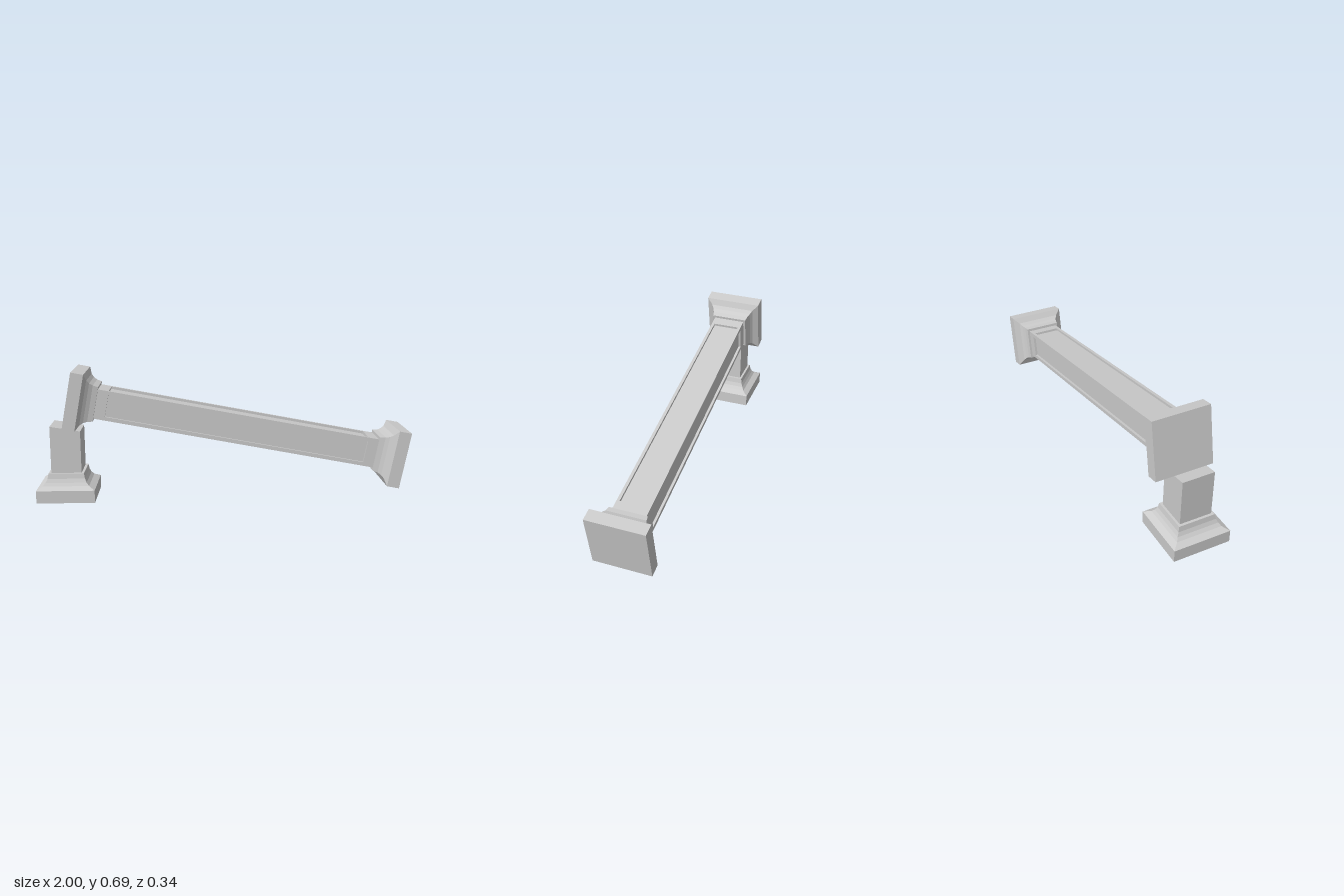
import * as THREE from 'three';

const material = new THREE.MeshStandardMaterial({ color: 0xcccccc, flatShading: true });

// Closed solid through rectangular rings [y, halfX, halfZ], stacked upwards
function ringSolid(rings) {
  const pos = [];
  const corner = ([y, hx, hz], k) => {
    const [sx, sz] = [[1, 1], [1, -1], [-1, -1], [-1, 1]][k % 4];
    return [sx * hx, y, sz * hz];
  };
  const quad = (a, b, c, d) => pos.push(...a, ...b, ...c, ...a, ...c, ...d);
  for (let i = 0; i < rings.length - 1; i++) {
    for (let k = 0; k < 4; k++) {
      quad(corner(rings[i], k), corner(rings[i], k + 1), corner(rings[i + 1], k + 1), corner(rings[i + 1], k));
    }
  }
  const lo = rings[0], hi = rings[rings.length - 1];
  quad(corner(lo, 3), corner(lo, 2), corner(lo, 1), corner(lo, 0));
  quad(corner(hi, 0), corner(hi, 1), corner(hi, 2), corner(hi, 3));
  const g = new THREE.BufferGeometry();
  g.setAttribute('position', new THREE.Float32BufferAttribute(pos, 3));
  g.computeVertexNormals();
  return g;
}

function add(parent, name, geometry, x = 0, y = 0, z = 0) {
  const mesh = new THREE.Mesh(geometry, material);
  mesh.name = name;
  mesh.position.set(x, y, z);
  parent.add(mesh);
  return mesh;
}

const box = (w, h, d) => new THREE.BoxGeometry(w, h, d);

// Square plinth with a concave flare, shared by the base and both column ends
const plinthGeometry = ringSolid([
  [0, 0.154, 0.155], [0.067, 0.154, 0.155], [0.084, 0.122, 0.124],
  [0.1, 0.108, 0.113], [0.12, 0.099, 0.104], [0.148, 0.094, 0.099],
]);

const HALF_Y = 0.08, HALF_Z = 0.087; // shaft half sizes
const LENGTH = 1.831, PANEL_START = 0.206, DEPTH = 0.013;

function createStump() {
  const group = new THREE.Group();
  group.name = 'brokenStump';
  add(group, 'stumpBase', plinthGeometry);
  // Shaft with a sloping broken top
  const shaft = box(HALF_Y * 2, 0.25, HALF_Z * 2);
  shaft.translate(0, 0.265, 0);
  const p = shaft.attributes.position;
  for (let i = 0; i < p.count; i++) {
    if (p.getY(i) > 0.3) p.setY(i, p.getX(i) < 0 ? 0.4 : 0.373);
  }
  shaft.computeVertexNormals();
  add(group, 'stumpShaft', shaft);
  group.position.set(-0.847, 0, 0.0165);
  return group;
}

function createFallenColumn() {
  const group = new THREE.Group();
  group.name = 'fallenColumn';
  const panelLength = LENGTH - 2 * PANEL_START;
  const blockLength = PANEL_START - 0.13;

  // Recessed core forming the sunken panel floors
  add(group, 'panelCore', box(panelLength, 2 * (HALF_Y - DEPTH), 2 * (HALF_Z - DEPTH)));

  // Raised rails along the four long edges
  const railY = 0.02, railZ = 0.016;
  for (const sy of [-1, 1]) {
    for (const sz of [-1, 1]) {
      add(group, 'edgeRail', box(panelLength, railY, railZ),
        0, sy * (HALF_Y - railY / 2), sz * (HALF_Z - railZ / 2));
    }
  }

  // Solid shaft ends and flared plinths
  for (const s of [-1, 1]) {
    add(group, 'shaftEnd', box(blockLength, HALF_Y * 2, HALF_Z * 2),
      s * (panelLength + blockLength) / 2);
    const end = add(group, s < 0 ? 'capital' : 'columnBase', plinthGeometry, s * LENGTH / 2);
    end.rotation.z = s * Math.PI / 2;
  }

  group.position.set(0.07, 0.371, -0.0165);
  group.rotation.z = -0.187;
  return group;
}

export function createModel() {
  const model = new THREE.Group();
  model.name = 'ruinedColumn';
  model.add(createStump(), createFallenColumn());
  return model;
}
